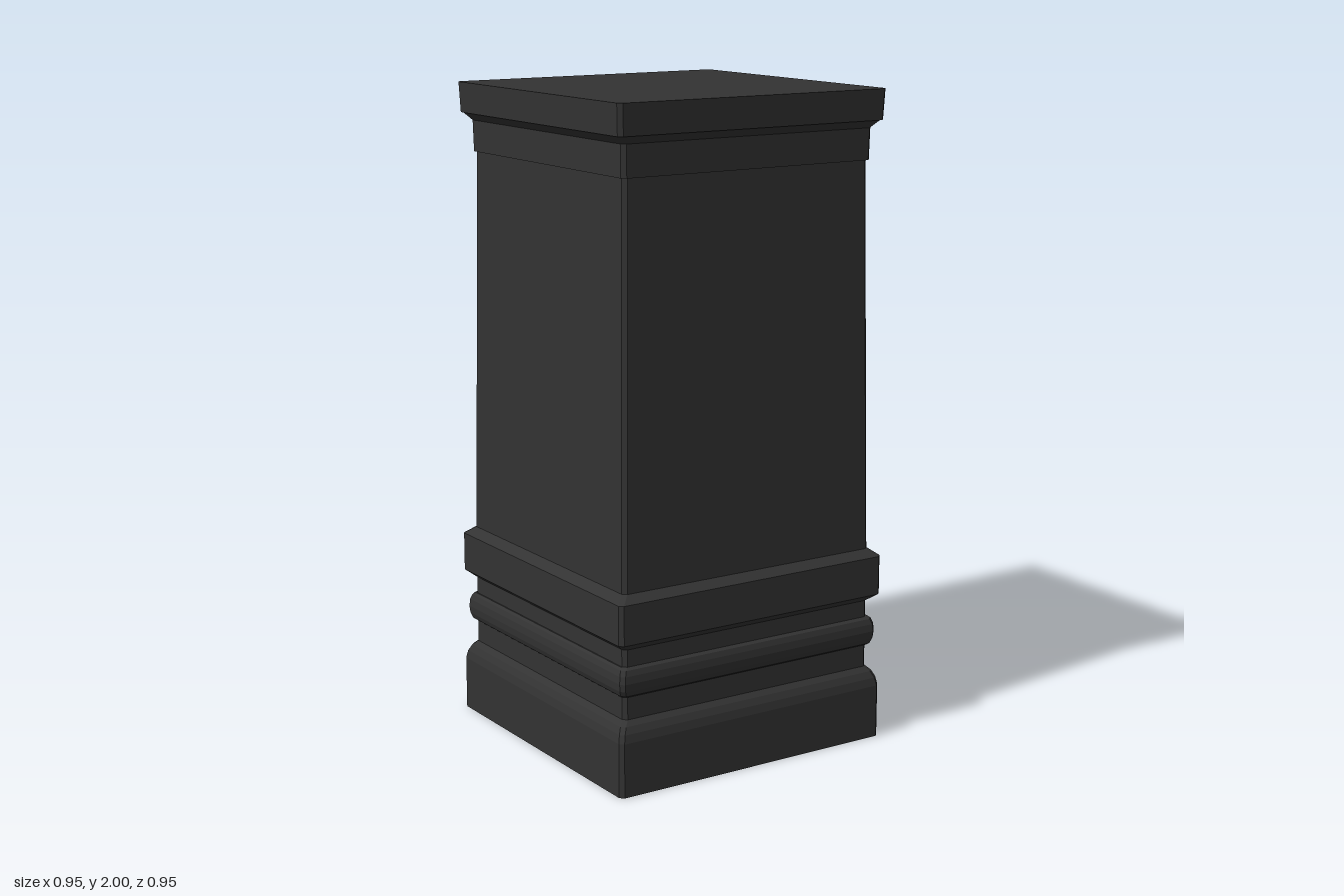
import * as THREE from 'three';

const material = new THREE.MeshStandardMaterial({ color: 0x333333, flatShading: true, side: THREE.DoubleSide });

// Square ring with slightly chamfered corners, half width w at height y
function ring(w, y, c = 0.012) {
  const points = [];
  for (const [sx, sz] of [[1, 1], [1, -1], [-1, -1], [-1, 1]]) {
    const a = [sx * (w - c), y, sz * w], b = [sx * w, y, sz * (w - c)];
    points.push(...(sx * sz > 0 ? [a, b] : [b, a]));
  }
  return points;
}

// Skin a profile of [half width, height] pairs, optionally closing the top
function squareLoft(name, profile, closeTop = false) {
  const positions = [], index = [];
  for (const [w, y] of profile) positions.push(...ring(w, y).flat());
  for (let i = 0; i < profile.length - 1; i++) {
    for (let j = 0; j < 8; j++) {
      const a = i * 8 + j, b = i * 8 + (j + 1) % 8;
      index.push(a, b, b + 8, a, b + 8, a + 8);
    }
  }
  if (closeTop) {
    const t = (profile.length - 1) * 8;
    for (let j = 1; j < 7; j++) index.push(t, t + j, t + j + 1);
  }
  const geometry = new THREE.BufferGeometry();
  geometry.setAttribute('position', new THREE.Float32BufferAttribute(positions, 3));
  geometry.setIndex(index);
  geometry.computeVertexNormals();
  const mesh = new THREE.Mesh(geometry, material);
  mesh.name = name;
  return mesh;
}

export function createModel() {
  const group = new THREE.Group();
  group.name = 'pedestal';

  // Plinth, open underneath, with a rounded shoulder
  group.add(squareLoft('plinth', [
    [0.473, 0], [0.473, 0.165], [0.468, 0.19], [0.458, 0.21], [0.443, 0.225],
  ]));

  // Neck with a half-round bead
  const bead = [[0.443, 0.225], [0.443, 0.295]];
  for (let i = 0; i <= 6; i++) {
    const a = -Math.PI / 2 + (i / 6) * Math.PI;
    bead.push([0.447 + 0.016 * Math.cos(a), 0.34 + 0.045 * Math.sin(a)]);
  }
  bead.push([0.443, 0.385], [0.443, 0.437]);
  group.add(squareLoft('beadedNeck', bead));

  // Wide band with bevelled edges
  group.add(squareLoft('baseBand', [
    [0.443, 0.437], [0.472, 0.46], [0.472, 0.58], [0.443, 0.603],
  ]));

  // Tapering shaft
  group.add(squareLoft('shaft', [[0.443, 0.603], [0.425, 1.79]]));

  // Collar and cap
  group.add(squareLoft('collar', [[0.425, 1.79], [0.432, 1.79], [0.434, 1.885]]));
  group.add(squareLoft('cap', [
    [0.434, 1.885], [0.455, 1.908], [0.46, 1.908], [0.464, 2],
  ], true));

  // Panel on the inside of the front wall
  const panel = new THREE.Mesh(new THREE.BoxGeometry(0.43, 0.9, 0.05), material);
  panel.name = 'innerPanel';
  panel.position.set(0, 0.46, 0.41);
  group.add(panel);

  return group;
}
